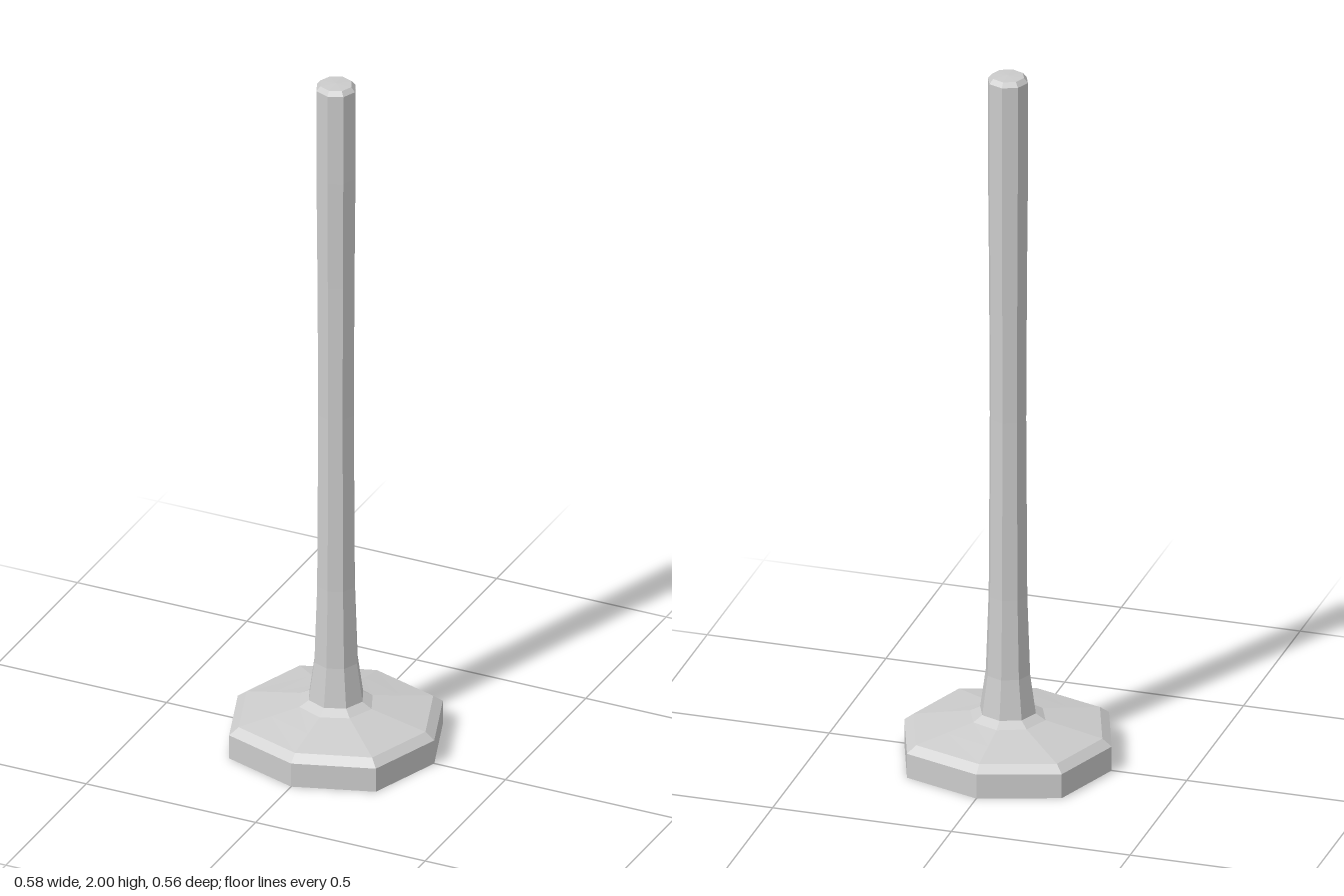
import * as THREE from 'three';

// Lathe an eight-sided part, slightly narrower in z; wide rings get fuller corners.
function octagonalPart(name, profile, material) {
  const geometry = new THREE.LatheGeometry(profile.map(([r, y]) => new THREE.Vector2(r, y)), 8);
  const pos = geometry.attributes.position;
  for (let i = 0; i < pos.count; i++) {
    const x = pos.getX(i), z = pos.getZ(i);
    const onDiagonal = Math.abs(x * z) > 1e-5;
    const fullness = onDiagonal ? 1 + 0.055 * THREE.MathUtils.smoothstep(Math.hypot(x, z), 0.1, 0.25) : 1;
    pos.setX(i, x * fullness);
    pos.setZ(i, z * fullness * 0.965);
  }
  geometry.computeVertexNormals();
  const mesh = new THREE.Mesh(geometry, material);
  mesh.name = name;
  return mesh;
}

export function createModel() {
  const group = new THREE.Group();
  group.name = 'postOnBase';
  const material = new THREE.MeshStandardMaterial({
    color: 0xcccccc, flatShading: true, side: THREE.DoubleSide,
  });

  // Hollow base, open underneath
  group.add(octagonalPart('base', [
    [0.29, 0], [0.29, 0.07], [0.264, 0.09], [0.18, 0.107], [0.105, 0.122], [0.078, 0.138],
  ], material));

  // Post flaring into the base, with a bevelled cap
  group.add(octagonalPart('post', [
    [0.078, 0.138], [0.062, 0.25], [0.054, 0.48], [0.051, 1.0], [0.053, 1.4],
    [0.056, 1.72], [0.056, 1.985], [0.045, 1.998], [0, 2],
  ], material));

  return group;
}
